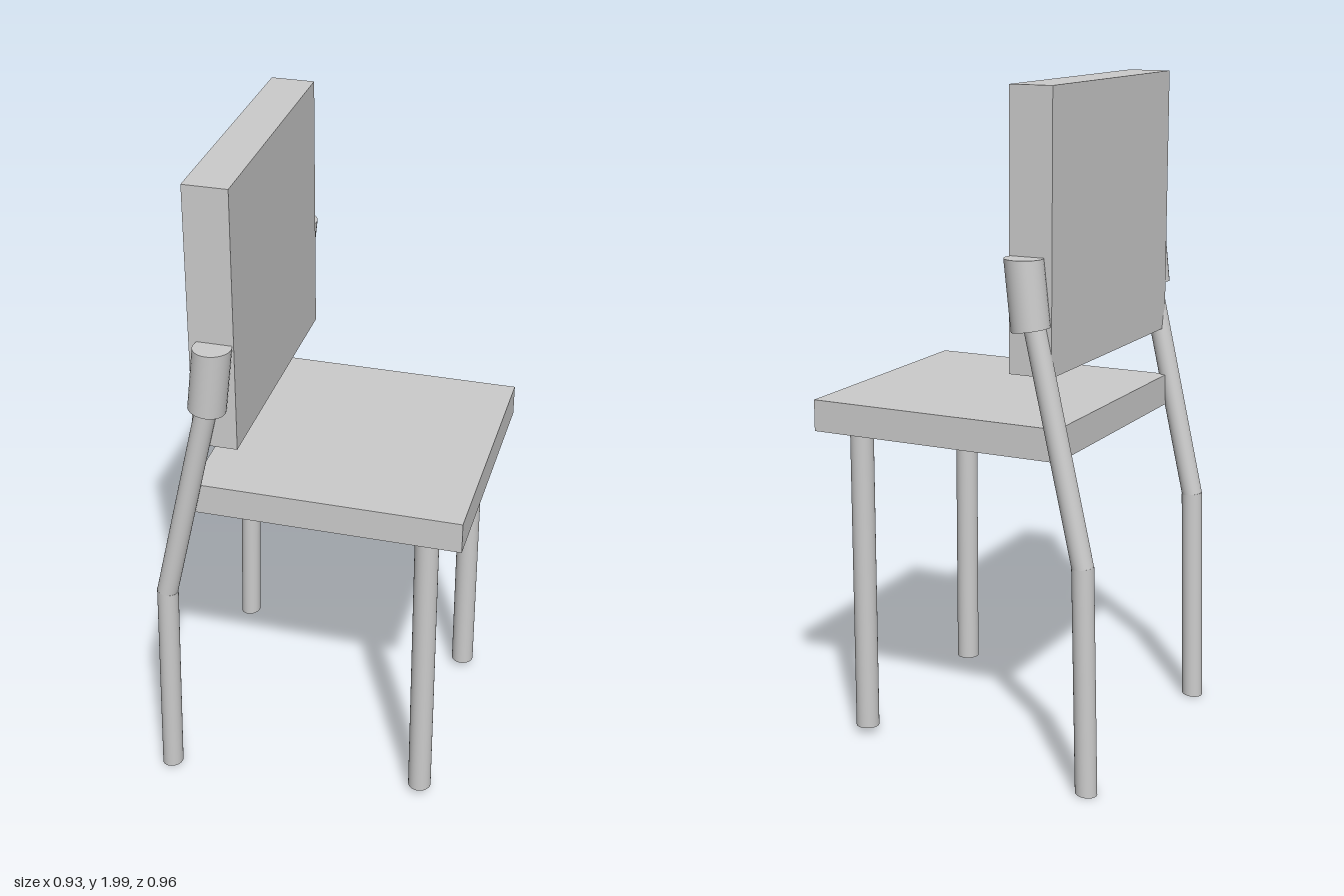
import * as THREE from 'three';

const material = new THREE.MeshStandardMaterial({ color: 0xcccccc });

function addMesh(parent, name, geometry) {
  const mesh = new THREE.Mesh(geometry, material);
  mesh.name = name;
  parent.add(mesh);
  return mesh;
}

// Box given by its lowest and highest corners
function addBox(parent, name, [x0, y0, z0], [x1, y1, z1]) {
  const mesh = addMesh(parent, name, new THREE.BoxGeometry(x1 - x0, y1 - y0, z1 - z0));
  mesh.position.set((x0 + x1) / 2, (y0 + y1) / 2, (z0 + z1) / 2);
}

// Leaning round bar in the xy plane; each end is cut at its own slope (rise per x)
function leaningBar([x0, y0], [x1, y1], radius, slope0 = 0, slope1 = 0) {
  const geometry = new THREE.CylinderGeometry(radius, radius, 1, 32);
  const pos = geometry.attributes.position;
  const lean = (x1 - x0) / (y1 - y0);
  for (let i = 0; i < pos.count; i++) {
    const t = pos.getY(i) + 0.5;
    const dx = pos.getX(i);
    const y = THREE.MathUtils.lerp(y0, y1, t) + dx * THREE.MathUtils.lerp(slope0, slope1, t);
    pos.setXY(i, x0 + (y - y0) * lean + dx, y);
  }
  // Tip the side normals square to the leaning axis
  const normal = geometry.attributes.normal;
  for (let i = 0; i < normal.count; i++) {
    const nx = normal.getX(i), ny = normal.getY(i), nz = normal.getZ(i);
    const slope = ny > 0 ? slope1 : slope0;
    const n = Math.abs(ny) > 0.5
      ? new THREE.Vector3(-slope * ny, ny, 0)
      : new THREE.Vector3(nx, -lean * nx, nz);
    n.normalize();
    normal.setXYZ(i, n.x, n.y, n.z);
  }
  return geometry;
}

export function createModel() {
  const chair = new THREE.Group();
  chair.name = 'chair';

  // Seat and backrest slabs
  addBox(chair, 'seat', [-0.33, 0.97, -0.397], [0.465, 1.065, 0.397]);
  addBox(chair, 'backrest', [-0.315, 1.21, -0.406], [-0.185, 2, 0.406]);

  // Straight front legs
  for (const [name, z] of [['leftFrontLeg', -0.316], ['rightFrontLeg', 0.336]]) {
    const leg = addMesh(chair, name, new THREE.CylinderGeometry(0.035, 0.035, 0.94, 32));
    leg.position.set(0.352, 0.5, z);
  }

  // Bent rear legs, each ending in a sleeve beside the backrest
  for (const side of [-1, 1]) {
    const rear = new THREE.Group();
    rear.name = side < 0 ? 'leftRearLeg' : 'rightRearLeg';
    const foot = [-0.434, 0.01], knee = [-0.417, 0.685], top = [-0.255, 1.4];
    addMesh(rear, 'lowerLeg', leaningBar(foot, knee, 0.032, 0.1, -0.12));
    addMesh(rear, 'upperLeg', leaningBar(knee, top, 0.032, -0.12, -0.2));
    rear.position.z = side * 0.412;
    chair.add(rear);

    const sleeve = addMesh(chair, side < 0 ? 'leftSleeve' : 'rightSleeve',
      leaningBar([-0.262, 1.345], [-0.24, 1.54], 0.055, -0.15, 0));
    sleeve.position.z = side * 0.427;
  }
  return chair;
}
